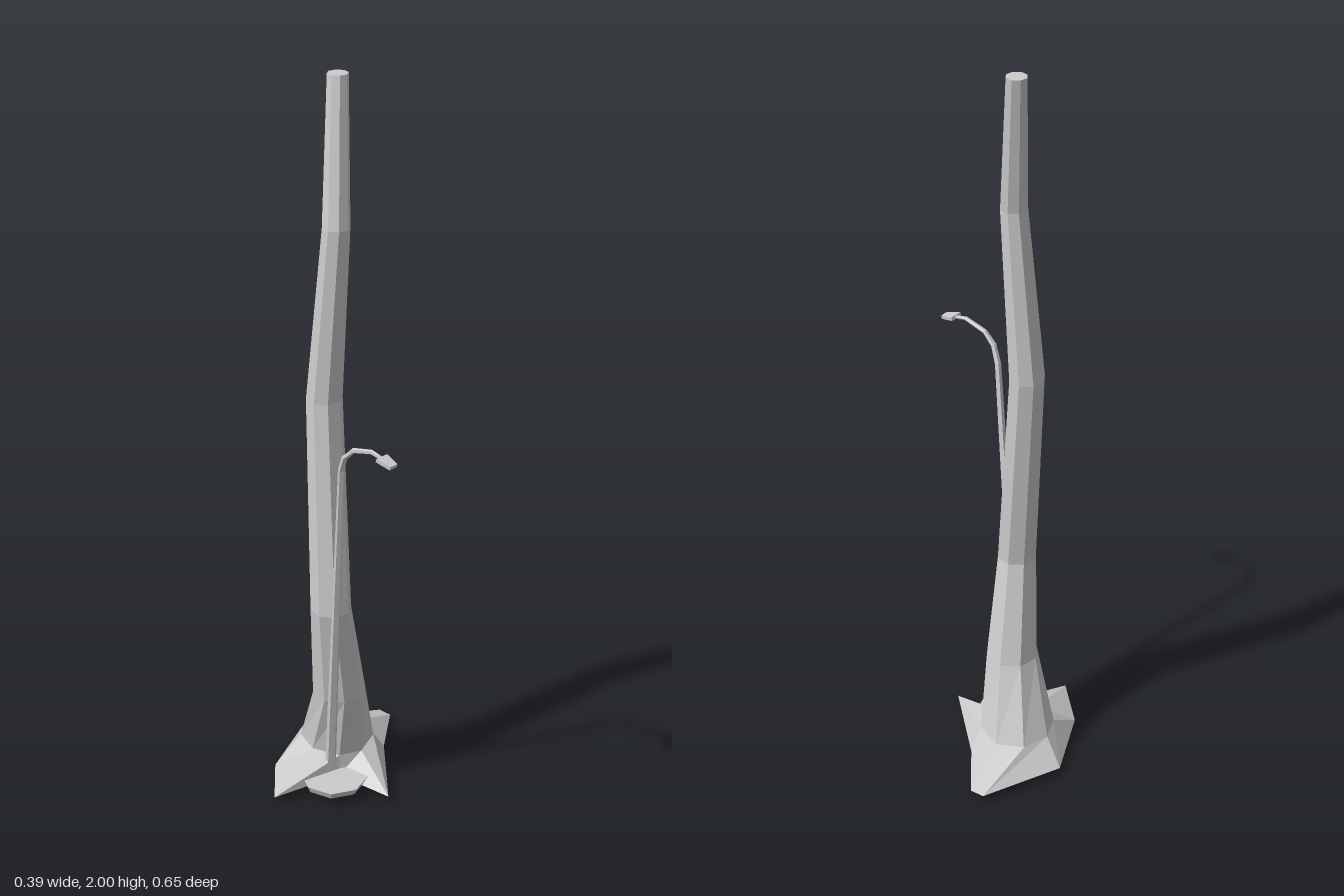
import * as THREE from 'three';

const grey = () => new THREE.MeshStandardMaterial({
  color: 0xcccccc, flatShading: true, side: THREE.DoubleSide,
});

// Joins equal-sized rings of points, listed from bottom to top, into a skin.
function loft(rings, capStart, capEnd) {
  const n = rings[0].length;
  const points = rings.flat();
  const index = [];
  for (let r = 0; r < rings.length - 1; r++) {
    for (let i = 0; i < n; i++) {
      const a = r * n + i, b = r * n + (i + 1) % n;
      index.push(a, a + n, b, b, a + n, b + n);
    }
  }
  const last = (rings.length - 1) * n;
  for (let i = 1; i < n - 1; i++) {
    if (capStart) index.push(0, i, i + 1);
    if (capEnd) index.push(last, last + i + 1, last + i);
  }
  const g = new THREE.BufferGeometry();
  g.setAttribute('position', new THREE.Float32BufferAttribute(points.flat(), 3));
  g.setIndex(index);
  g.computeVertexNormals();
  return g;
}

function add(group, name, geometry) {
  const mesh = new THREE.Mesh(geometry, grey());
  mesh.name = name;
  group.add(mesh);
  return mesh;
}

// Eight-sided level ring, starting at the back and running clockwise from above.
function levelRing([y, x, z, radius]) {
  return Array.from({ length: 8 }, (_, i) => {
    const a = (i - 0.5) * Math.PI / 4;
    return [x + radius * Math.sin(a), y, z - radius * Math.cos(a)];
  });
}

// Square ring around a path point, turned to the path's direction.
function pathRing(points, i, radius) {
  const before = points[Math.max(i - 1, 0)], after = points[Math.min(i + 1, points.length - 1)];
  const dir = after.clone().sub(before).normalize();
  const side = new THREE.Vector3(0.81, 0, -0.58);
  side.addScaledVector(dir, -side.dot(dir)).normalize();
  if (dir.y < 0.8) side.set(-dir.z, 0, dir.x).normalize().negate();
  const other = new THREE.Vector3().crossVectors(side, dir);
  return Array.from({ length: 5 }, (_, k) => {
    const a = k * Math.PI * 2 / 5;
    return points[i].clone()
      .addScaledVector(side, radius * Math.cos(a))
      .addScaledVector(other, radius * Math.sin(a)).toArray();
  });
}

export function createModel() {
  const model = new THREE.Group();

  // Trunk: spreading root flare, then a bent, tapering stem
  const rootTips = [[0.043, -0.325], [0.078, -0.305], [0.088, -0.145], [0.143, 0.093],
    [-0.01, 0.02], [-0.163, 0.157], [-0.195, 0.005], [-0.16, -0.2]].map(([x, z]) => [x, 0.02, z]);
  const collar = [[-0.06, -0.19], [0.017, -0.18], [0.063, -0.11], [0.045, -0.025],
    [-0.01, 0.01], [-0.09, -0.01], [-0.137, -0.07], [-0.122, -0.14]].map(([x, z]) => [x, 0.08, z]);
  const stem = [
    [0.28, -0.017, -0.02, 0.073],
    [0.57, -0.028, 0.037, 0.055],
    [1.16, -0.055, -0.02, 0.048],
    [1.63, -0.02, -0.003, 0.036],
    [2.0, -0.029, -0.071, 0.027],
  ].map(levelRing);
  add(model, 'trunk', loft([rootTips, collar, ...stem], false, true));

  // Stalk: thin leaning shoot that curls over at the top
  const path = [[-0.037, 0, 0.008], [0, 0.57, 0.11], [0.033, 1.07, 0.2], [0.045, 1.115, 0.218],
    [0.07, 1.145, 0.237], [0.122, 1.163, 0.272], [0.15, 1.157, 0.29]]
    .map((p) => new THREE.Vector3(...p));
  const radii = [0.016, 0.012, 0.009, 0.008, 0.007, 0.006, 0.005];
  add(model, 'stalk', loft(path.map((_, i) => pathRing(path, i, radii[i])), true, true));

  // Bud: small flat wedge at the end of the stalk
  const bud = new THREE.BoxGeometry(0.042, 0.01, 0.038);
  const p = bud.attributes.position;
  for (let i = 0; i < p.count; i++) if (p.getX(i) > 0) p.setZ(i, p.getZ(i) * 0.65);
  const budMesh = add(model, 'bud', bud);
  budMesh.position.set(0.166, 1.153, 0.301);
  budMesh.rotation.set(0, -0.6, -0.25, 'YXZ');

  // Foot disc: low plate around the bottom of the stalk
  const foot = add(model, 'footDisc', new THREE.CylinderGeometry(0.094, 0.085, 0.02, 8));
  foot.position.set(-0.018, 0.03, 0.047);
  foot.rotation.y = 0.1;

  return model;
}
